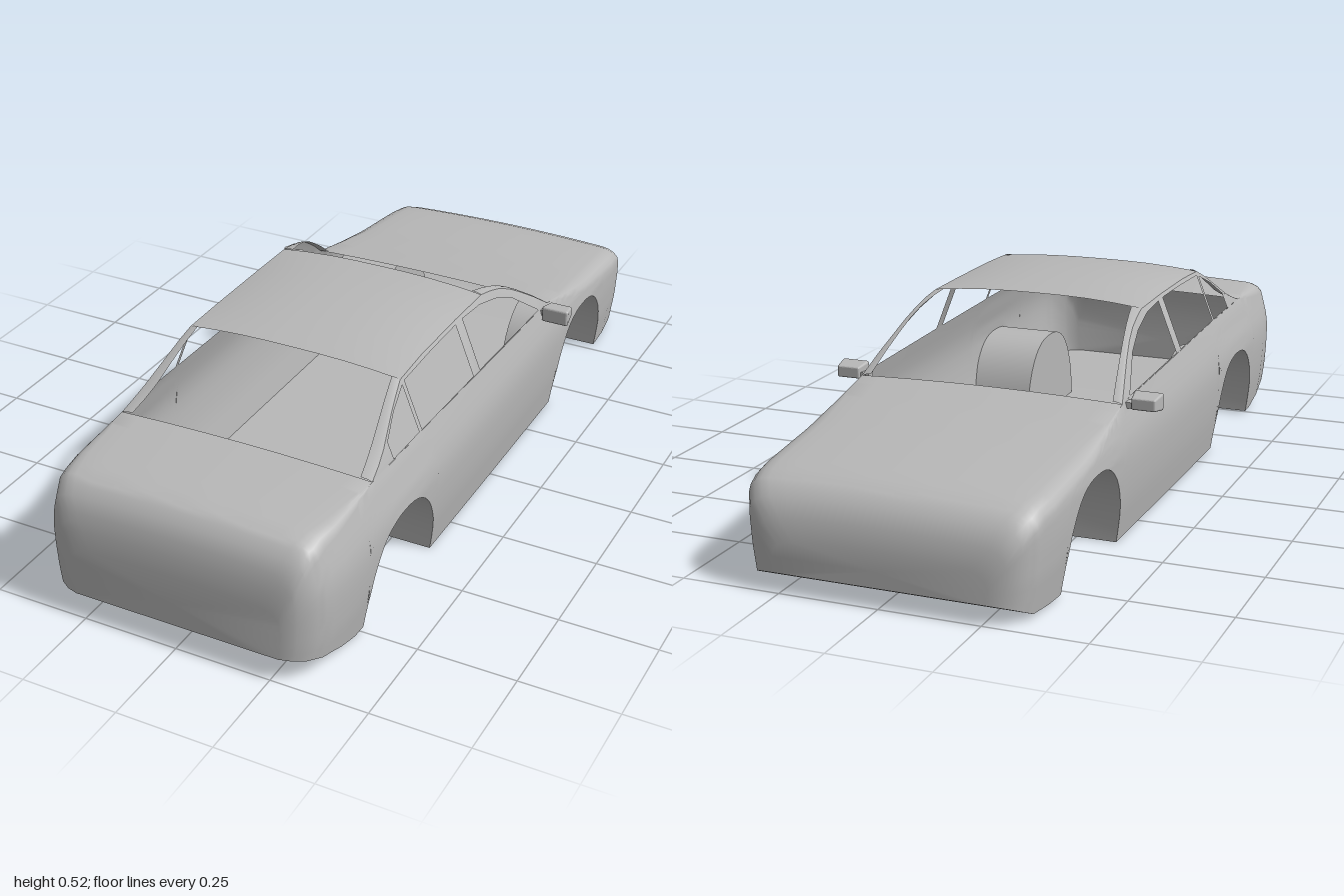
import * as THREE from 'three';
import { toCreasedNormals } from 'three/addons/utils/BufferGeometryUtils.js';
import { RoundedBoxGeometry } from 'three/addons/geometries/RoundedBoxGeometry.js';

const paint = new THREE.MeshStandardMaterial({ color: 0xb8b8b8, side: THREE.DoubleSide });
paint.name = 'grey paint';

// Piecewise linear lookup in a short list of [position, value] pairs
function lookup(table, p) {
  if (p <= table[0][0]) return table[0][1];
  for (let i = 1; i < table.length; i++) {
    const [p0, v0] = table[i - 1], [p1, v1] = table[i];
    if (p <= p1) return v0 + (v1 - v0) * (p - p0) / (p1 - p0);
  }
  return table[table.length - 1][1];
}

// Plan half width, deck / belt height, underside height and shoulder radius along z
const WIDTH = [[-1, .27], [-.99, .305], [-.97, .335], [-.93, .357], [-.85, .367], [-.6, .373], [0, .375],
  [.6, .375], [.85, .372], [.93, .362], [.97, .34], [.99, .31], [1, .28]];
const TOP = [[-1, .13], [-.99, .18], [-.97, .22], [-.94, .245], [-.9, .262], [-.8, .273], [-.65, .288], [-.5, .312],
  [-.36, .34], [0, .35], [.4, .36], [.67, .366], [.9, .363], [.94, .352], [.97, .325], [.985, .29], [.995, .25], [1, .2]];
const BOTTOM = [[-1, .05], [-.92, .012], [-.79, .004], [-.41, .001], [.38, .001], [.78, .008], [.9, .045], [.97, .063], [1, .068]];
const RADIUS = [[-1, .04], [-.6, .03], [-.37, 0], [.665, 0], [.75, .015], [.92, .035], [1, .04]];
// Side bulge as a fraction of the half width, by height
const BULGE = [[0, .945], [.05, .965], [.1, .985], [.17, .998], [.23, 1], [.27, .985], [.31, .955], [.345, .93],
  [.37, .905], [.43, .84], [.49, .78], [.5, .765]];
const sideX = (z, y) => lookup(WIDTH, z) * lookup(BULGE, y);

const CABIN = [-.37, .665];
const AXLES = [-.595, .557];
const ARCH_HALF = .181, ARCH_TOP = .235, TUB_X = .2;

function archHeight(z) {
  const base = lookup(BOTTOM, z);
  for (const axle of AXLES) {
    const u = Math.abs(z - axle) / ARCH_HALF;
    if (u < 1) return Math.max(base, ARCH_TOP * Math.pow(1 - Math.pow(u, 2.5), 1 / 2.1));
  }
  return base;
}

// Surface through equal-length rows of points; skip(i, j) leaves a cell open
function loft(rows, closed, skip = () => false) {
  const n = rows[0].length, index = [];
  const cols = closed ? n : n - 1;
  for (let i = 0; i < rows.length - 1; i++) {
    for (let j = 0; j < cols; j++) {
      if (skip(i, j)) continue;
      const a = i * n + j, b = i * n + (j + 1) % n, c = a + n, d = b + n;
      index.push(a, b, c, b, d, c);
    }
  }
  const geometry = new THREE.BufferGeometry();
  geometry.setAttribute('position', new THREE.Float32BufferAttribute(rows.flat(2), 3));
  geometry.setIndex(index);
  return toCreasedNormals(geometry, 0.65);
}

const mesh = (name, geometry) => {
  const m = new THREE.Mesh(geometry, paint);
  m.name = name;
  return m;
};

// Lower body: floor, wheel tubs, flanks, bonnet and boot lid in one loft
const SIDE_STEPS = 10, ARC_STEPS = 4;
function bodySection(z) {
  const floor = lookup(BOTTOM, z), low = archHeight(z), top = lookup(TOP, z), r = lookup(RADIUS, z);
  const half = [[0, floor], [TUB_X, floor], [TUB_X, low]];
  for (let i = 0; i <= SIDE_STEPS; i++) {
    const y = low + (top - r - low) * i / SIDE_STEPS;
    half.push([sideX(z, y), y]);
  }
  const edge = sideX(z, top - r);
  for (let i = 1; i <= ARC_STEPS; i++) {
    const a = i / ARC_STEPS * Math.PI / 2;
    half.push([edge - 1.4 * r * (1 - Math.cos(a)), top - r + r * Math.sin(a)]);
  }
  const deck = half[half.length - 1][0];
  for (const f of [.85, .6, .3, 0]) half.push([deck * f, top + .008 * (1 - f * f)]);
  const mirrored = half.slice(1, -1).reverse().map(([x, y]) => [-x, y]);
  return [...half, ...mirrored].map(([x, y]) => [x, y, z]);
}

function buildBody() {
  const zs = new Set([...CABIN, ...[...WIDTH, ...TOP, ...BOTTOM].map(p => p[0])]);
  for (let z = -.95; z < 1; z += .05) zs.add(+z.toFixed(3));
  for (const axle of AXLES) {
    for (const z of [...zs]) if (Math.abs(z - axle) < ARCH_HALF + .004) zs.delete(z);
    for (let k = 0; k <= 24; k++) zs.add(axle - ARCH_HALF * Math.cos(k / 24 * Math.PI));
  }
  CABIN.forEach(z => zs.add(z));
  const list = [...zs].sort((a, b) => a - b);
  const rows = list.map(bodySection);
  const n = rows[0].length;
  // close both ends
  rows.unshift(rows[0].map(() => [0, .09, -1]));
  rows.push(rows[0].map(() => [0, .13, 1]));
  list.unshift(-1);
  list.push(1);
  const deckStart = 3 + SIDE_STEPS;
  return loft(rows, true, (i, j) => list[i] >= CABIN[0] - 1e-6 && list[i + 1] <= CABIN[1] + 1e-6
    && j >= deckStart && j < n - deckStart);
}

// Cabin outline as seen from the side, [z, y]
const OUTLINE = [[-.37, lookup(TOP, -.37)], [-.31, .381], [-.25, .42], [-.2, .45], [-.15, .473], [-.1, .488],
  [-.055, .497], [.1, .5], [.3, .5], [.42, .495], [.46, .475], [.5, .452], [.58, .402], [.62, .383], [.665, lookup(TOP, .665)]];
const WINDOWS = [
  [[.555, .366], [.555, .407], [.49, .45], [.42, .482], [.42, .364]],
  [[.405, .363], [.405, .487], [.25, .491], [.11, .491], [.11, .356]],
  [[.07, .355], [.07, .49], [-.03, .482], [-.12, .46], [-.2, .425], [-.3, .352], [-.31, .344]],
];

// Cabin side with three window openings
function buildCabinSide(side) {
  const points = list => list.map(([z, y]) => new THREE.Vector2(z, y));
  const belt = [.4, 0, -.36].map(z => [z, lookup(TOP, z)]);
  const shape = new THREE.Shape(points([...OUTLINE, ...belt]));
  shape.holes = WINDOWS.map(w => new THREE.Path(points(w)));
  const geometry = new THREE.ShapeGeometry(shape);
  const p = geometry.attributes.position;
  for (let i = 0; i < p.count; i++) {
    const z = p.getX(i), y = p.getY(i);
    p.setXYZ(i, side * sideX(z, y), y, z);
  }
  if (side > 0) geometry.index.array.reverse();
  return toCreasedNormals(geometry, 0.65);
}

// Crowned roof panel between the two screens
function buildRoof() {
  const fractions = [1, .97, .9, .75, .5, .25, 0, -.25, -.5, -.75, -.9, -.97, -1];
  const zs = [-.055, -.02, .05, .1, .2, .3, .38, .42];
  return loft(zs.map(z => {
    const y = lookup(OUTLINE, z), x = sideX(z, y);
    const crown = .025 - .17 * (z - .17) ** 2;
    return fractions.map(f => [x * f, y + crown * (1 - Math.abs(f) ** 2.6), z]);
  }), false);
}

// Screen pillar: strip between the cabin outline and the screen opening
function buildPillar(side, z0, z1, inner) {
  const zs = OUTLINE.map(p => p[0]).filter(z => z >= z0 && z <= z1);
  return loft(zs.map(z => {
    const y = lookup(OUTLINE, z), x = sideX(z, y), xi = lookup(inner, z);
    const row = [[side * x, y, z], [side * (x + xi) / 2, y + .004, z], [side * xi, y + .005, z]];
    return side > 0 ? row : row.reverse();
  }), false);
}

// Door mirror: rounded block narrowing towards the bonnet
function buildMirror(side) {
  const group = new THREE.Group();
  group.name = side > 0 ? 'leftMirror' : 'rightMirror';
  const shell = new RoundedBoxGeometry(.074, .044, .05, 2, .006);
  const p = shell.attributes.position;
  for (let i = 0; i < p.count; i++) {
    if (p.getZ(i) < 0) p.setXYZ(i, p.getX(i) * .85, p.getY(i) * .7, p.getZ(i));
  }
  shell.computeVertexNormals();
  const housing = mesh('mirrorHousing', shell);
  housing.position.set(side * .397, .337, -.33);
  const stalk = mesh('mirrorStalk', new THREE.BoxGeometry(.03, .015, .025));
  stalk.position.set(side * .358, .33, -.335);
  group.add(housing, stalk);
  return group;
}

export function createModel() {
  const car = new THREE.Group();
  car.name = 'carBody';
  car.add(mesh('lowerBody', buildBody()), mesh('roof', buildRoof()));
  for (const side of [1, -1]) {
    const label = side > 0 ? 'left' : 'right';
    car.add(
      mesh(label + 'CabinSide', buildCabinSide(side)),
      mesh(label + 'WindscreenPillar', buildPillar(side, -.37, -.055, [[-.37, .325], [-.055, .262]])),
      mesh(label + 'RearPillar', buildPillar(side, .42, .665, [[.42, .268], [.665, .31]])),
      buildMirror(side),
    );
  }
  return car;
}
